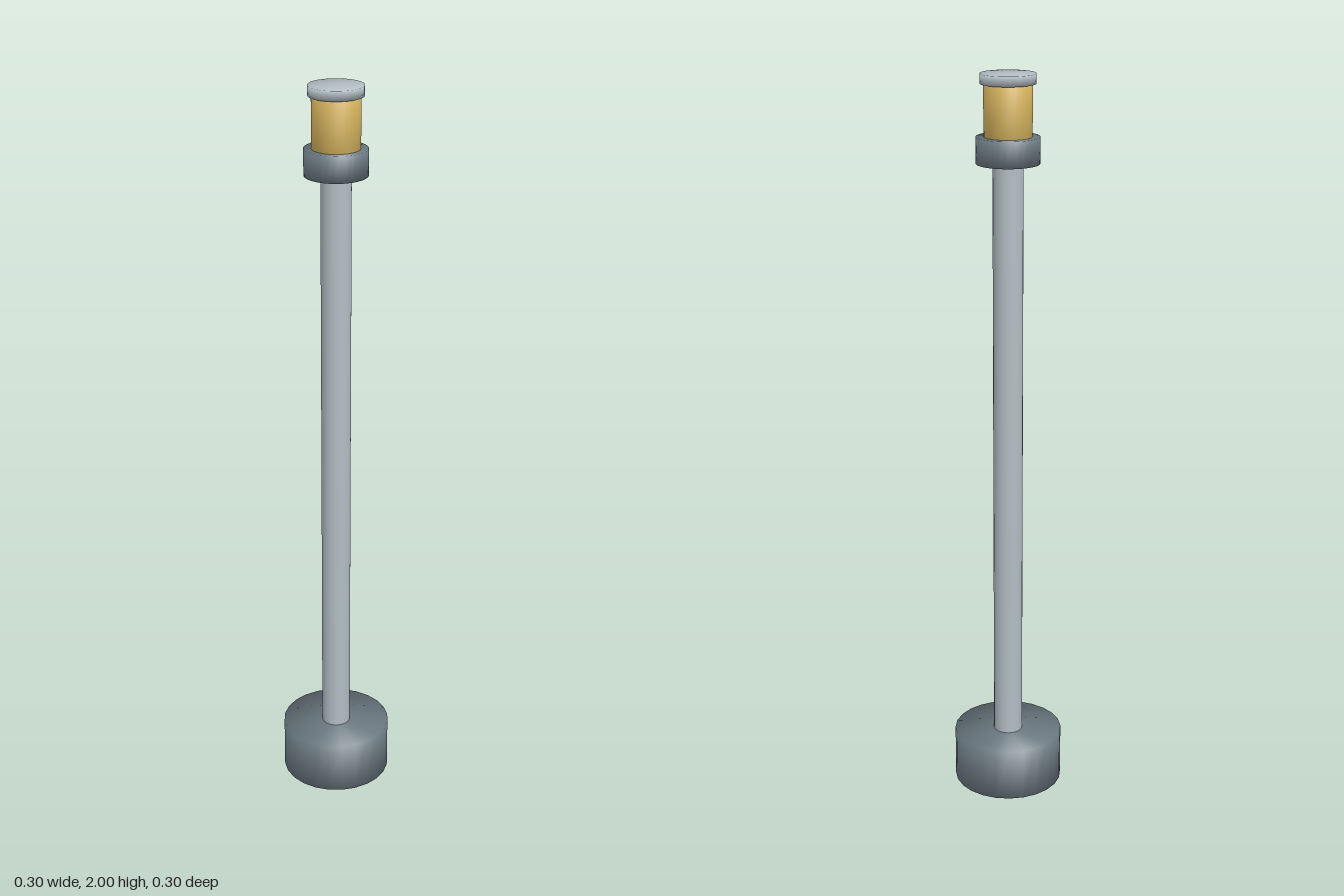
import * as THREE from 'three';
import { mergeVertices } from 'three/addons/utils/BufferGeometryUtils.js';

const material = (name, color) => {
  const m = new THREE.MeshStandardMaterial({ color });
  m.name = name;
  return m;
};

// Closed cylinder between two heights, with normals blended softly over the rims
function softCylinder(radius, bottom, top, sides) {
  let geometry = new THREE.CylinderGeometry(radius, radius, top - bottom, sides);
  geometry.deleteAttribute('uv');
  geometry.deleteAttribute('normal');
  geometry = mergeVertices(geometry, 1e-5);
  geometry.computeVertexNormals();
  return geometry.translate(0, (top + bottom) / 2, 0);
}

export function createModel() {
  const darkGrey = material('dark grey', 0x6c7a82);
  const lightGrey = material('light grey', 0xb2bdc4);
  const gold = material('gold', 0xd8b55f);

  const group = new THREE.Group();
  group.name = 'lampPost';

  // name, material, radius, bottom, top, sides
  const parts = [
    ['base', darkGrey, 0.151, 0, 0.148, 24],
    ['pole', lightGrey, 0.04, 0.148, 1.772, 24],
    ['collar', darkGrey, 0.083, 1.772, 1.841, 32],
    ['lantern', gold, 0.063, 1.841, 1.974, 32],
    ['cap', lightGrey, 0.072, 1.974, 2, 32],
  ];
  for (const [name, mat, radius, bottom, top, sides] of parts) {
    const mesh = new THREE.Mesh(softCylinder(radius, bottom, top, sides), mat);
    mesh.name = name;
    group.add(mesh);
  }
  return group;
}
